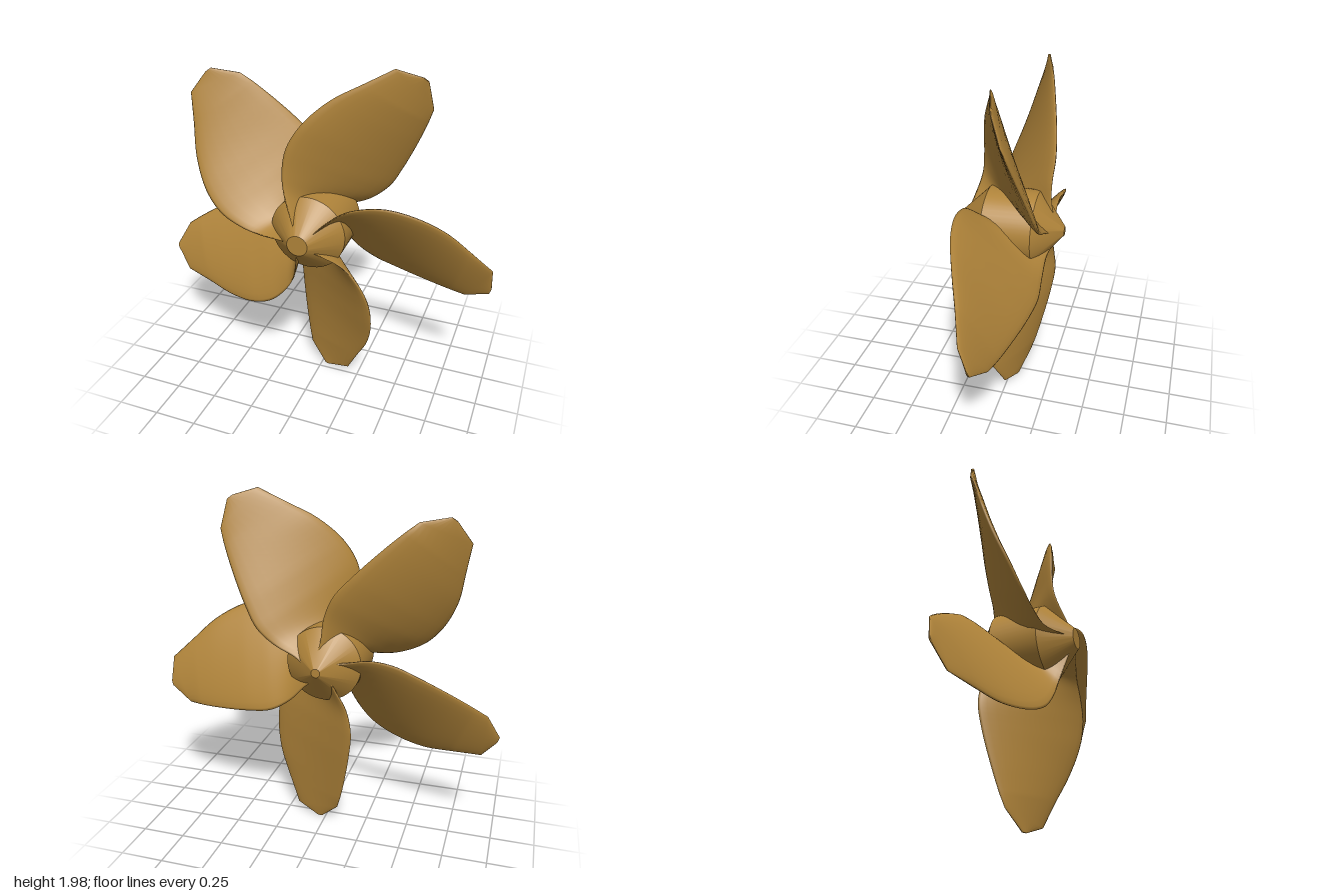
import * as THREE from 'three';
import { toCreasedNormals } from 'three/addons/utils/BufferGeometryUtils.js';

const bronze = new THREE.MeshStandardMaterial({ color: 0xb0843a });

// Blade stations: leading edge, trailing edge (across, outward, z), half thickness.
const STATIONS = [
  [[0.065, 0.04, 0.27], [-0.05, 0.04, -0.25], 0.02],
  [[0.235, 0.14, 0.215], [-0.09, 0.13, -0.22], 0.026],
  [[0.32, 0.235, 0.205], [-0.15, 0.24, -0.215], 0.03],
  [[0.38, 0.355, 0.195], [-0.18, 0.37, -0.22], 0.035],
  [[0.395, 0.505, 0.165], [-0.165, 0.52, -0.2], 0.035],
  [[0.36, 0.685, 0.105], [-0.125, 0.73, -0.155], 0.03],
  [[0.28, 0.855, 0.045], [-0.09, 0.87, -0.12], 0.024],
  [[0.21, 1.0, 0], [-0.07, 0.935, -0.1], 0.015],
  [[0.08, 1.045, -0.04], [0.04, 1.045, -0.05], 0.008],
];
const SIDES = 24;

// Twisted blade pointing down -y, lofted from elliptical sections.
function bladeGeometry() {
  const point = ([v, u, z]) => new THREE.Vector3(v, -u, z);
  const lead = new THREE.CatmullRomCurve3(STATIONS.map((s) => point(s[0])));
  const trail = new THREE.CatmullRomCurve3(STATIONS.map((s) => point(s[1])));
  const last = STATIONS.length - 1;
  const sections = [];
  for (let k = 0; k < 6 * 5; k++) {
    const f = k / 5, i = Math.floor(f);
    const half = THREE.MathUtils.lerp(STATIONS[i][2], STATIONS[i + 1][2], f - i);
    sections.push([lead.getPoint(f / last), trail.getPoint(f / last), half]);
  }
  // The tip is faceted, so its stations are joined by straight lines
  for (const s of STATIONS.slice(6)) sections.push([point(s[0]), point(s[1]), s[2]]);

  const positions = [], index = [];
  for (const [a, b, half] of sections) {
    const mid = a.clone().add(b).multiplyScalar(0.5);
    const chord = a.clone().sub(b).multiplyScalar(0.5);
    const normal = new THREE.Vector3(-chord.z, 0, chord.x).normalize();
    for (let j = 0; j < SIDES; j++) {
      const t = (j / SIDES) * Math.PI * 2;
      const p = mid.clone().addScaledVector(chord, Math.cos(t)).addScaledVector(normal, half * Math.sin(t));
      positions.push(p.x, p.y, p.z);
    }
  }
  for (let i = 0; i < sections.length - 1; i++) {
    for (let j = 0; j < SIDES; j++) {
      const a = i * SIDES + j, b = i * SIDES + ((j + 1) % SIDES);
      index.push(a, b, a + SIDES, b, b + SIDES, a + SIDES);
    }
  }
  // Close the tip
  const end = (sections.length - 1) * SIDES;
  for (let j = 1; j < SIDES - 1; j++) index.push(end, end + j, end + j + 1);

  const geometry = new THREE.BufferGeometry();
  geometry.setAttribute('position', new THREE.Float32BufferAttribute(positions, 3));
  geometry.setIndex(index);
  // Make sure the faces look outward
  let volume = 0;
  const [p, q, r] = [0, 1, 2].map(() => new THREE.Vector3());
  const attribute = geometry.attributes.position;
  for (let i = 0; i < index.length; i += 3) {
    p.fromBufferAttribute(attribute, index[i]);
    q.fromBufferAttribute(attribute, index[i + 1]);
    r.fromBufferAttribute(attribute, index[i + 2]);
    volume += p.dot(q.cross(r));
  }
  if (volume < 0) geometry.setIndex(index.reverse());
  geometry.computeVertexNormals();
  return geometry;
}

export function createModel() {
  const propeller = new THREE.Group();
  propeller.name = 'propeller';
  propeller.position.set(-0.02, 1.05, 0);

  // Hub: short cylinder with a blunt cone at each end
  const profile = [[0, -0.3], [0.025, -0.3], [0.215, -0.145], [0.22, 0.14], [0.06, 0.3], [0, 0.3]]
    .map(([r, y]) => new THREE.Vector2(r, y));
  const hub = new THREE.Mesh(toCreasedNormals(new THREE.LatheGeometry(profile, 48), 0.5), bronze);
  hub.name = 'hub';
  hub.rotation.x = Math.PI / 2;
  propeller.add(hub);

  // Five equal blades around the hub
  const geometry = bladeGeometry();
  for (let i = 0; i < 5; i++) {
    const blade = new THREE.Mesh(geometry, bronze);
    blade.name = `blade${i + 1}`;
    blade.rotation.z = (i * Math.PI * 2) / 5;
    propeller.add(blade);
  }

  const model = new THREE.Group();
  model.name = 'model';
  model.add(propeller);
  return model;
}
